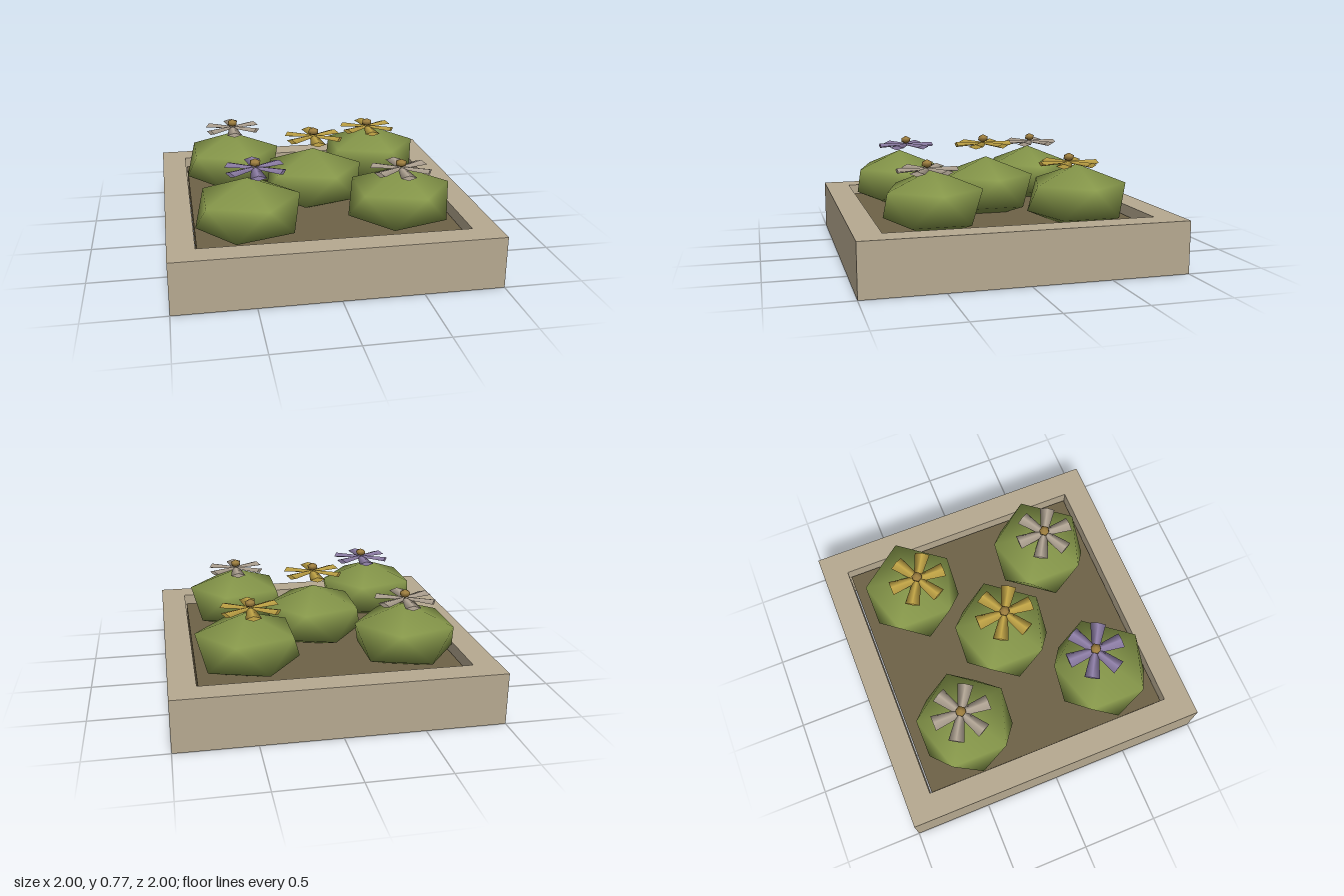
import * as THREE from 'three';
import { mergeVertices } from 'three/addons/utils/BufferGeometryUtils.js';

const mat = (name, color) => {
  const m = new THREE.MeshStandardMaterial({ color });
  m.name = name;
  return m;
};

// Squashed icosahedron with a vertex pointing up and smooth normals
function smoothIco(rx, ry, rz) {
  const raw = new THREE.IcosahedronGeometry(1, 0);
  raw.deleteAttribute('normal');
  raw.deleteAttribute('uv');
  const geo = mergeVertices(raw, 1e-3);
  geo.rotateZ(-Math.atan(2 / (1 + Math.sqrt(5))));
  geo.scale(rx, ry, rz);
  geo.computeVertexNormals();
  return geo;
}

export function createModel() {
  const group = new THREE.Group();
  group.name = 'flowerPlanter';
  const wood = mat('weathered wood', 0xb7aa91);
  const soil = mat('soil', 0x6f6348);
  const leaf = mat('leaf green', 0x86974a);
  const centre = mat('flower centre', 0xa08040);
  const white = mat('pale petal', 0xb8ab9a);
  const yellow = mat('yellow petal', 0xc8aa48);
  const purple = mat('purple petal', 0x9484ae);

  const add = (parent, name, geo, material, x = 0, y = 0, z = 0) => {
    const mesh = new THREE.Mesh(geo, material);
    mesh.name = name;
    mesh.position.set(x, y, z);
    parent.add(mesh);
    return mesh;
  };

  // Square frame, open above and below
  const square = (Ctor, r) => {
    const s = new Ctor();
    s.moveTo(-r, -r).lineTo(r, -r).lineTo(r, r).lineTo(-r, r).closePath();
    return s;
  };
  const outline = square(THREE.Shape, 1);
  outline.holes.push(square(THREE.Path, 0.835));
  const frameGeo = new THREE.ExtrudeGeometry(outline, { depth: 0.33, bevelEnabled: false });
  frameGeo.rotateX(-Math.PI / 2);
  add(group, 'frame', frameGeo, wood);

  // Soil slab with a narrow gap to the frame
  add(group, 'soil', new THREE.BoxGeometry(1.645, 0.165, 1.645), soil, 0, 0.1825, 0);

  const bushGeo = smoothIco(0.363, 0.213, 0.345);
  const ballGeo = smoothIco(0.037, 0.027, 0.037);

  // Petal: flat diamond section widening outwards, drooping a little
  const petalGeo = new THREE.CylinderGeometry(0.05, 0.026, 0.165, 4);
  petalGeo.scale(1, 1, 0.32);
  petalGeo.rotateX(Math.PI / 2);
  petalGeo.translate(0, 0, 0.1025);
  petalGeo.rotateX(0.03);

  // Bush x, z, then flower x, y, z and colour
  const plants = [
    [-0.505, -0.46, -0.497, 0.66, -0.475, white],
    [0.495, -0.46, 0.47, 0.636, -0.415, yellow],
    [0, 0, 0, 0.717, 0.02, yellow],
    [-0.495, 0.505, -0.44, 0.673, 0.467, purple],
    [0.47, 0.468, 0.47, 0.628, 0.5, white],
  ];
  for (const [bx, bz, fx, fy, fz, colour] of plants) {
    add(group, 'bush', bushGeo, leaf, bx, 0.413, bz);
    const flower = new THREE.Group();
    flower.name = 'flower';
    flower.position.set(fx, fy, fz);
    for (let i = 0; i < 6; i++) {
      add(flower, 'petal', petalGeo, colour).rotation.y = (i * Math.PI) / 3;
    }
    add(flower, 'flowerCentre', ballGeo, centre, 0, 0.031, 0);
    group.add(flower);
  }
  return group;
}
